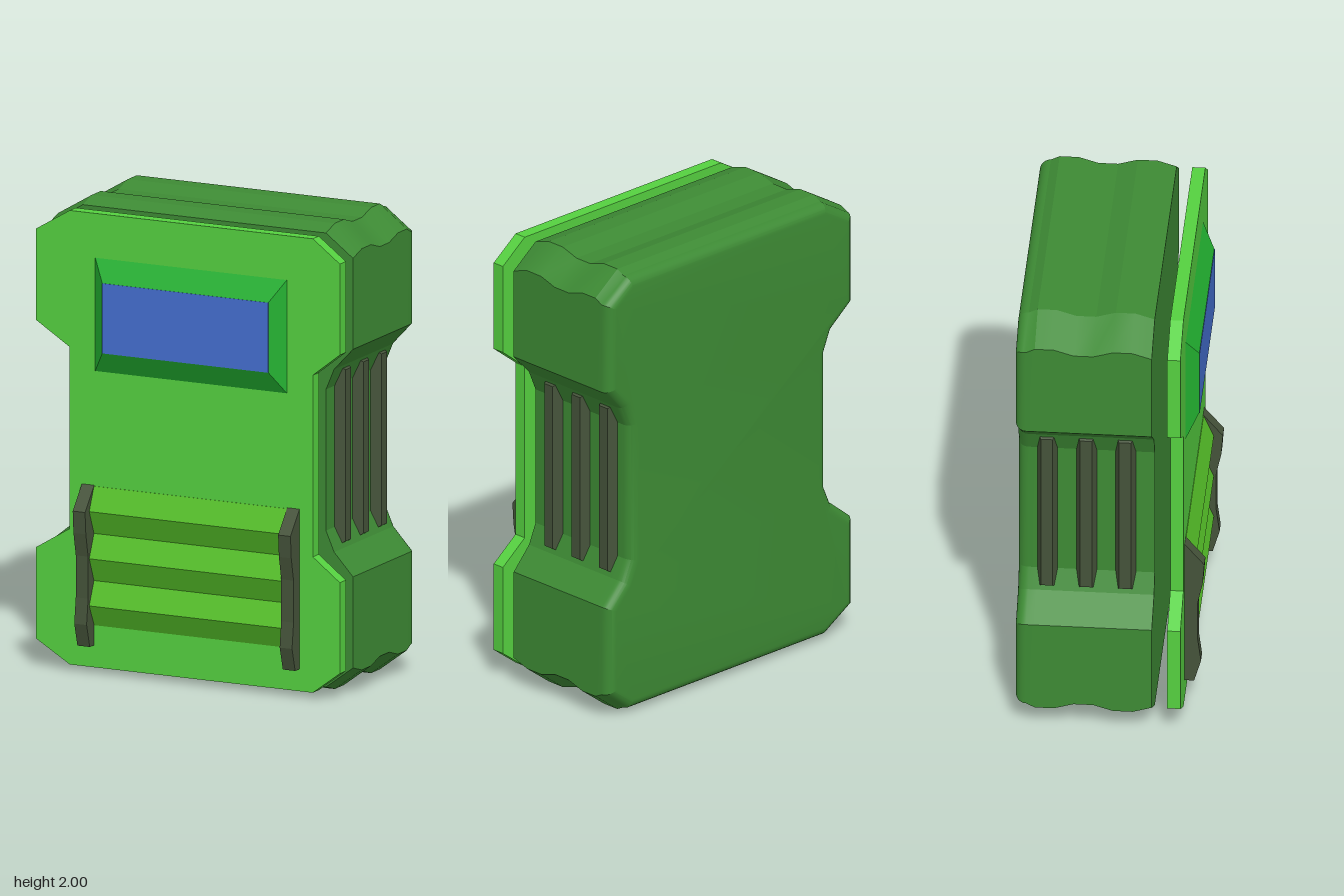
import * as THREE from 'three';
import { toCreasedNormals } from 'three/addons/utils/BufferGeometryUtils.js';

const mat = (color, side = THREE.FrontSide) => new THREE.MeshStandardMaterial({ color, side });
const WAIST_R = 0.587, WAIST_L = -0.555, MID = 0.015;

// Anticlockwise outline: one flank is listed bottom to top, the other is its mirror
function outline(softWaist) {
  const flank = (s, w) => [
    [w, 0.03], [s * 0.714, 0.125], [s * 0.714, 0.515],
    ...(softWaist
      ? [[w + s * 0.038, 0.612], [w, 0.70], [w, 1.305], [w + s * 0.038, 1.395]]
      : [[w, 0.612], [w, 1.39]]),
    [s * 0.714, 1.49], [s * 0.714, 1.88], [w, 1.975]
  ].map(p => new THREE.Vector2(...p));
  return [...flank(1, WAIST_R), ...flank(-1, WAIST_L).reverse()];
}

// Mitred inward offset of an anticlockwise outline
function inset(pts, d) {
  const n = pts.length;
  const normal = (a, b) => new THREE.Vector2(a.y - b.y, b.x - a.x).normalize();
  return pts.map((p, i) => {
    const n1 = normal(pts[(i + n - 1) % n], p), n2 = normal(p, pts[(i + 1) % n]);
    const m = n1.clone().add(n2);
    return p.clone().addScaledVector(m, d / (1 + n1.dot(n2)));
  });
}

// Case lofted from front to back, with a wavy top and bottom and a rounded back rim
function caseGeometry() {
  const base = outline(true), n = base.length, r = 0.045, back = -0.387;
  const stations = [
    [0.185, 0, 0], [0.105, 1, 0], [0.022, 1, 0], [-0.06, 0, 0],
    [-0.143, 0, 0], [-0.225, 1, 0], [-0.305, 1, 0]
  ];
  for (let k = 0; k <= 6; k++) {
    const a = k / 6 * Math.PI / 2;
    stations.push([back + r * (1 - Math.sin(a)), 0.25, r * (1 - Math.cos(a))]);
  }
  const pos = [], idx = [];
  for (const [z, wave, d] of stations) {
    const ring = base.map(p => {
      const lift = p.y > 1.8 ? 0.025 : p.y < 0.2 ? -0.025 : 0;
      return new THREE.Vector2(p.x, p.y + lift * wave);
    });
    for (const p of inset(ring, d)) pos.push(p.x, p.y, z);
  }
  const last = (stations.length - 1) * n;
  for (let o = 0; o < last; o += n) {
    for (let i = 0; i < n; i++) {
      const j = (i + 1) % n;
      idx.push(o + i, o + n + i, o + n + j, o + i, o + n + j, o + j);
    }
  }
  for (const [a, b, c] of THREE.ShapeUtils.triangulateShape(base, [])) {
    idx.push(a, b, c, last + a, last + c, last + b);
  }
  const g = new THREE.BufferGeometry();
  g.setAttribute('position', new THREE.Float32BufferAttribute(pos, 3));
  g.setIndex(idx);
  return toCreasedNormals(g, 0.28);
}

// Block on z = 0 whose front face is smaller than its base
function frustum(w0, h0, w1, h1, depth) {
  const box = new THREE.BoxGeometry(w0, h0, depth).translate(0, 0, depth / 2);
  const p = box.attributes.position;
  for (let i = 0; i < p.count; i++) {
    if (p.getZ(i) > depth / 2) p.setXY(i, p.getX(i) * w1 / w0, p.getY(i) * h1 / h0);
  }
  const g = box.toNonIndexed();
  g.computeVertexNormals();
  return g;
}

// Profile of [z, y] points extruded along x
function sideProfile(points, x0, x1) {
  const shape = new THREE.Shape(points.map(p => new THREE.Vector2(...p)));
  return new THREE.ExtrudeGeometry(shape, { depth: x1 - x0, bevelEnabled: false })
    .rotateY(-Math.PI / 2).translate(x1, 0, 0);
}

export function createModel() {
  const model = new THREE.Group();
  model.name = 'handheldDevice';
  const add = (name, geometry, material, x = 0, y = 0, z = 0) => {
    const mesh = new THREE.Mesh(geometry, material);
    mesh.name = name;
    mesh.position.set(x, y, z);
    model.add(mesh);
    return mesh;
  };
  const dark = mat(0x45533a);

  // Main case and the separate front plate
  add('case', caseGeometry(), mat(0x3d8a34));
  add('frontPlate', new THREE.ExtrudeGeometry(new THREE.Shape(outline(false)),
    { depth: 0.055, bevelEnabled: false }), mat(0x55d040), 0, 0, 0.25);

  // Sloped display frame with a flush screen
  add('displayFrame', frustum(0.90, 0.485, 0.78, 0.30, 0.052), mat(0x22b030), MID, 1.5425, 0.305);
  add('screen', new THREE.BoxGeometry(0.78, 0.30, 0.004), mat(0x446fd0), MID, 1.5425, 0.357);

  // Three ridged louvres between two shaped brackets
  const zigzag = [[0.30, 0.2]];
  for (let i = 0; i < 3; i++) {
    zigzag.push([0.35, 0.302 + i * 0.202], [0.307, 0.402 + i * 0.202]);
  }
  zigzag.push([0.30, 0.806]);
  add('louvres', sideProfile(zigzag, -0.44, 0.467), mat(0x55c028));
  const bracket = [
    [0.30, 0.125], [0.345, 0.125], [0.374, 0.225], [0.36, 0.335], [0.36, 0.515],
    [0.381, 0.615], [0.388, 0.71], [0.305, 0.81], [0.30, 0.81]
  ];
  add('rightBracket', sideProfile(bracket, -0.498, -0.44), dark);
  add('leftBracket', sideProfile(bracket, 0.467, 0.525), dark);

  // Three bevelled grip ribs in the waist on each side
  const rib = frustum(0.085, 0.78, 0.05, 0.735, 0.042);
  for (const [side, s, x] of [['left', 1, WAIST_R], ['right', -1, WAIST_L]]) {
    for (const z of [0.064, -0.10, -0.264]) {
      add(side + 'GripRib', rib, dark, x, 1.006, z).rotation.y = s * Math.PI / 2;
    }
  }
  return model;
}
